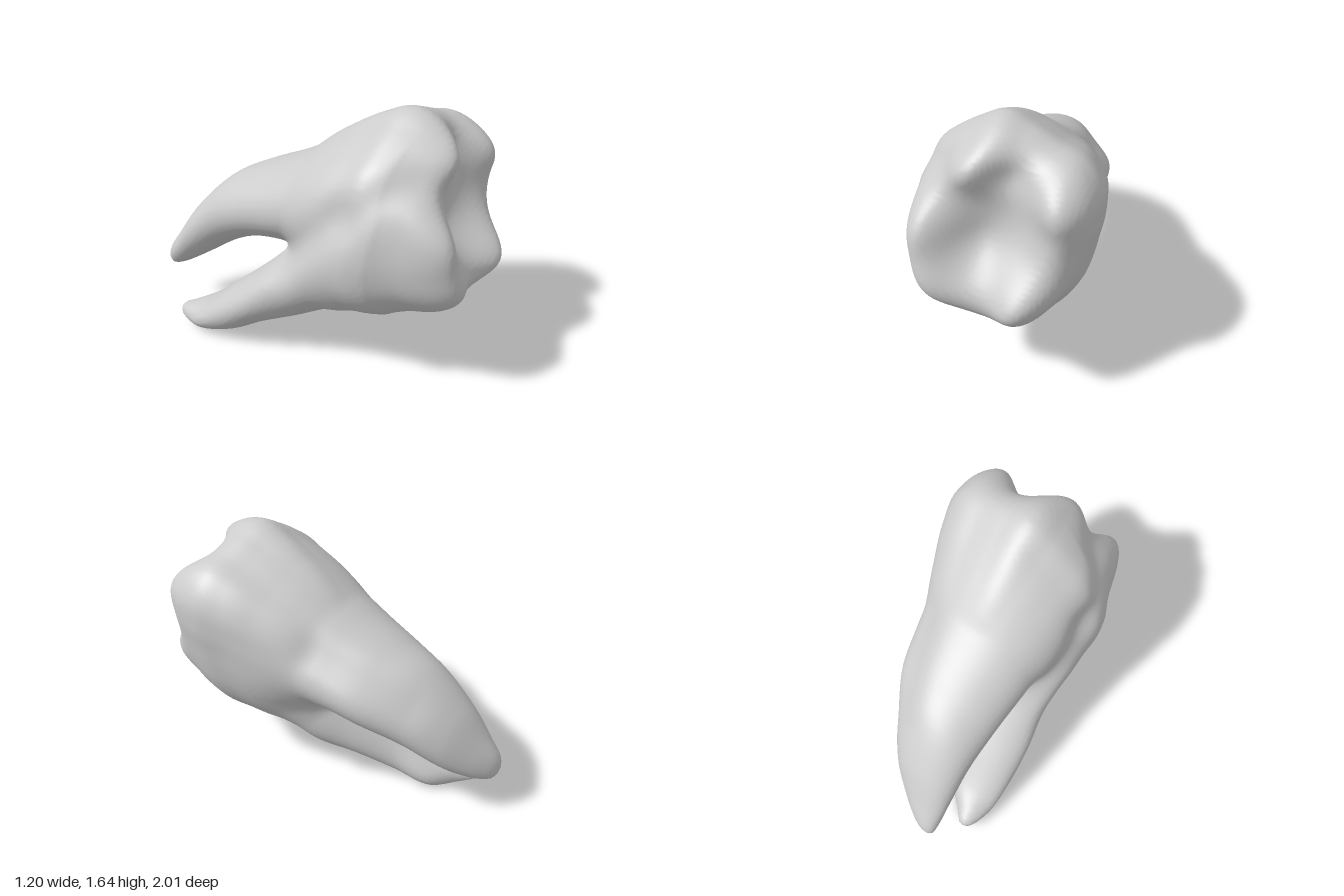
import * as THREE from 'three';

// Key sections along z. Roots: z, centre x, centre y, radius x, radius y
const UPPER_ROOT = [
  [-1, -0.38, 0.37, 0.03, 0.045], [-0.98, -0.365, 0.385, 0.07, 0.085], [-0.92, -0.315, 0.445, 0.125, 0.13],
  [-0.8, -0.23, 0.585, 0.2, 0.195], [-0.6, -0.14, 0.765, 0.27, 0.235], [-0.4, -0.07, 0.87, 0.335, 0.245],
  [-0.2, -0.035, 0.94, 0.37, 0.27], [0, -0.01, 0.985, 0.4, 0.335], [0.2, 0.01, 0.98, 0.43, 0.43], [0.5, 0.04, 1.03, 0.38, 0.42],
];
const LOWER_ROOT = [
  [-0.8, -0.51, 0.1, 0.02, 0.02], [-0.78, -0.51, 0.1, 0.045, 0.04], [-0.72, -0.49, 0.1, 0.09, 0.07],
  [-0.6, -0.42, 0.118, 0.18, 0.115], [-0.4, -0.36, 0.235, 0.23, 0.175], [-0.2, -0.26, 0.385, 0.3, 0.215],
  [0, -0.15, 0.54, 0.36, 0.29], [0.2, -0.1, 0.71, 0.4, 0.345], [0.35, -0.06, 0.8, 0.41, 0.385],
  [0.5, 0, 0.9, 0.4, 0.36],
];
// Crown: z, centre x, centre y, scale of the outline
const CROWN = [
  [-0.15, 0, 0.9, 0.2], [0, -0.01, 0.93, 0.61], [0.2, 0.01, 0.97, 0.85], [0.35, 0.03, 1.01, 0.94],
  [0.5, 0.04, 1.03, 1], [0.75, 0.08, 1.05, 0.88], [1.05, 0.08, 1.04, 0.76],
];
// Crown outline radius every 15 degrees, counter-clockwise from +x
const OUTLINE = [
  0.53, 0.575, 0.63, 0.635, 0.59, 0.59, 0.615, 0.565, 0.535, 0.53, 0.525, 0.525,
  0.535, 0.56, 0.59, 0.605, 0.61, 0.605, 0.605, 0.605, 0.59, 0.56, 0.535, 0.52,
];
// Bumps (+) and pits (-) of the chewing face: x, y, height, spread
const CUSPS = [
  [-0.18, 0.79, 0.2, 0.22], [0.33, 0.77, 0.2, 0.2], [-0.26, 1.11, 0.23, 0.22], [-0.02, 1.48, 0.2, 0.2],
  [0.48, 1.33, 0.14, 0.18], [0.45, 1.07, 0.04, 0.15], [0.06, 0.74, 0.06, 0.16], [0.01, 1.03, -0.04, 0.13], [0.16, 1.42, -0.04, 0.1],
];
// Grooves in the skin: start, end, depth, spread
const GROOVES = [
  [[0.1, 0.92, -0.65], [0.29, 1.12, -0.15], 0.045, 0.12],
  [[-0.4, 0.72, -0.05], [-0.44, 1.15, 0.4], 0.035, 0.12],
  [[-0.44, 1.15, 0.4], [-0.27, 1.4, 0.72], 0.02, 0.1],
].map(([a, b, depth, spread]) => ({ line: new THREE.Line3(new THREE.Vector3(...a), new THREE.Vector3(...b)), depth, spread }));

const hermite = (a, b, ma, mb, t) => {
  const t2 = t * t, t3 = t2 * t;
  return a * (2 * t3 - 3 * t2 + 1) + ma * (t3 - 2 * t2 + t) + b * (3 * t2 - 2 * t3) + mb * (t3 - t2);
};

// Smoothly interpolated section at z
function sectionAt(keys, z) {
  const last = keys.length - 1;
  if (z <= keys[0][0]) return keys[0];
  if (z >= keys[last][0]) return keys[last];
  let i = 0;
  while (keys[i + 1][0] < z) i++;
  const a = keys[i], b = keys[i + 1], p = keys[Math.max(i - 1, 0)], n = keys[Math.min(i + 2, last)];
  const dz = b[0] - a[0], t = (z - a[0]) / dz;
  return a.map((v, c) => hermite(v, b[c], (b[c] - p[c]) / (b[0] - p[0]) * dz, (n[c] - v) / (n[0] - a[0]) * dz, t));
}

const smoothMin = (a, b, k) => {
  const h = Math.max(k - Math.abs(a - b), 0) / k;
  return Math.min(a, b) - h * h * k / 4;
};
const smoothMax = (a, b, k) => -smoothMin(-a, -b, k);

// Distance to a root made of ellipses
function rootField(keys, x, y, z) {
  const [, cx, cy, rx, ry] = sectionAt(keys, z);
  const dx = x - cx, dy = y - cy;
  const q = Math.hypot(dx / rx, dy / ry), g = Math.hypot(dx / (rx * rx), dy / (ry * ry));
  const d = g < 1e-6 ? -Math.min(rx, ry) : q * (q - 1) / g;
  return Math.max(d, keys[0][0] - z, z - keys[keys.length - 1][0]);
}

// Distance to the crown sides, cut by the chewing face
function crownField(x, y, z) {
  const [, cx, cy, s] = sectionAt(CROWN, z);
  const dx = x - cx, dy = y - cy, n = OUTLINE.length;
  const u = (Math.atan2(dy, dx) / (2 * Math.PI) + 1) % 1 * n, i = Math.floor(u);
  const r = (k) => OUTLINE[(i + k + n) % n];
  const radius = hermite(r(0), r(1), (r(1) - r(-1)) / 2, (r(2) - r(0)) / 2, u - i);
  const side = Math.max(Math.hypot(dx, dy) - s * radius, CROWN[0][0] - z);
  let top = 0.72 - 0.22 * (y - 1.05);
  for (const [px, py, h, w] of CUSPS) top += h * Math.exp(-((x - px) ** 2 + (y - py) ** 2) / (w * w));
  return smoothMax(side, (z - top) * 0.85, 0.13);
}

const point = new THREE.Vector3(), nearest = new THREE.Vector3();
function toothField(x, y, z) {
  const roots = smoothMin(rootField(UPPER_ROOT, x, y, z), rootField(LOWER_ROOT, x, y, z), 0.08);
  let d = smoothMin(roots, crownField(x, y, z), 0.14);
  point.set(x, y, z);
  for (const { line, depth, spread } of GROOVES) {
    line.closestPointToPoint(point, true, nearest);
    d += depth * Math.exp(-nearest.distanceToSquared(point) / (spread * spread));
  }
  return d;
}

// Closed smooth skin around the negative region of a field
function skin(field, min, max, step) {
  const n = min.map((v, a) => Math.ceil((max[a] - v) / step) + 1);
  const stride = [1, n[0], n[0] * n[1]];
  const values = new Float32Array(n[0] * n[1] * n[2]);
  const at = (i, j, k) => i + j * stride[1] + k * stride[2];
  for (let k = 0; k < n[2]; k++) for (let j = 0; j < n[1]; j++) for (let i = 0; i < n[0]; i++)
    values[at(i, j, k)] = field(min[0] + i * step, min[1] + j * step, min[2] + k * step);

  const positions = [], indices = [], cellVertex = new Int32Array(values.length).fill(-1);
  const corners = [...Array(8).keys()].map((c) => [c & 1, (c >> 1) & 1, c >> 2]);
  for (let k = 0; k < n[2] - 1; k++) for (let j = 0; j < n[1] - 1; j++) for (let i = 0; i < n[0] - 1; i++) {
    const id = at(i, j, k);
    const v = corners.map((c) => values[id + at(...c)]);
    if (v.every((d) => d < 0) || v.every((d) => d >= 0)) continue;
    // Average of the edge crossings
    const p = [0, 0, 0];
    let count = 0;
    for (let c = 0; c < 8; c++) for (let a = 0; a < 3; a++) {
      const e = c | (1 << a);
      if (e === c || (v[c] < 0) === (v[e] < 0)) continue;
      const t = v[c] / (v[c] - v[e]);
      for (let b = 0; b < 3; b++) p[b] += corners[c][b] + (b === a ? t : 0);
      count++;
    }
    const cell = [i, j, k];
    const q = p.map((s, a) => min[a] + (cell[a] + s / count) * step);
    // Pull the point onto the surface
    for (let pass = 0; pass < 2; pass++) {
      const d = field(...q), h = 0.003;
      const g = q.map((_, a) => (field(...q.map((w, b) => (a === b ? w + h : w))) - d) / h);
      const move = THREE.MathUtils.clamp(d / Math.max(g[0] ** 2 + g[1] ** 2 + g[2] ** 2, 0.1), -step / 3, step / 3);
      for (let a = 0; a < 3; a++) q[a] -= g[a] * move;
    }
    cellVertex[id] = positions.length / 3;
    positions.push(...q);
  }

  // One quad around every crossed grid edge
  for (let k = 1; k < n[2] - 1; k++) for (let j = 1; j < n[1] - 1; j++) for (let i = 1; i < n[0] - 1; i++) {
    const id = at(i, j, k), inside = values[id] < 0;
    for (let a = 0; a < 3; a++) {
      if (inside === (values[id + stride[a]] < 0)) continue;
      const b = stride[(a + 1) % 3], c = stride[(a + 2) % 3];
      const [p, q, r, s] = [id - b - c, id - c, id, id - b].map((m) => cellVertex[m]);
      if (inside) indices.push(p, q, r, p, r, s);
      else indices.push(p, r, q, p, s, r);
    }
  }
  const geometry = new THREE.BufferGeometry();
  geometry.setAttribute('position', new THREE.Float32BufferAttribute(positions, 3));
  geometry.setIndex(indices);
  geometry.computeVertexNormals();
  return geometry;
}

export function createModel() {
  const group = new THREE.Group();
  group.name = 'molar';
  const enamel = new THREE.MeshStandardMaterial({ color: 0xcccccc });
  enamel.name = 'pale grey enamel';

  const tooth = new THREE.Mesh(skin(toothField, [-0.75, -0.12, -1.1], [0.75, 1.8, 1.15], 0.022), enamel);
  tooth.name = 'crownAndRoots';
  group.add(tooth);
  return group;
}
